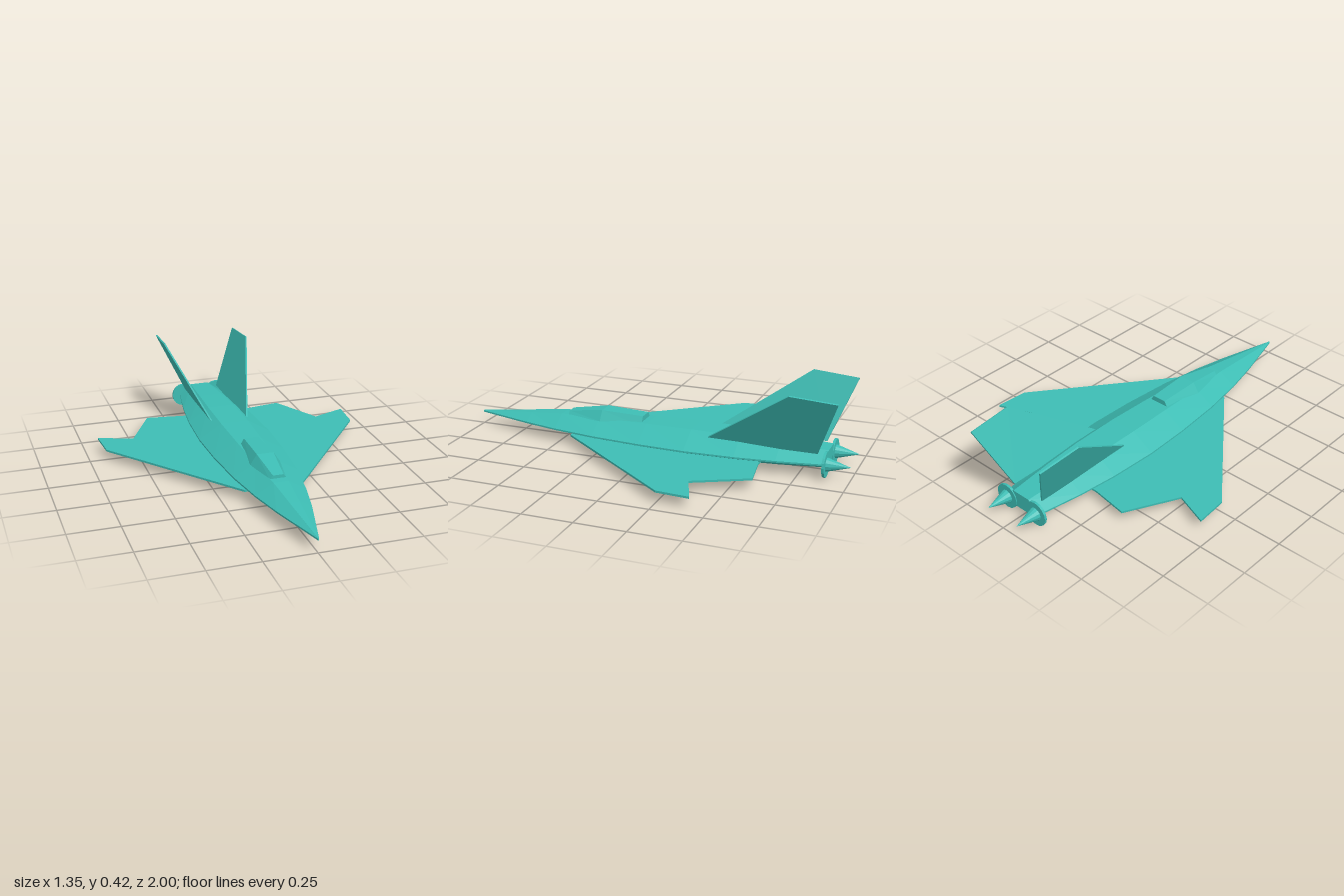
import * as THREE from 'three';

const material = new THREE.MeshStandardMaterial({ color: 0x3dbdb4, flatShading: true, side: THREE.DoubleSide });

function add(parent, name, geometry) {
  const mesh = new THREE.Mesh(geometry, material);
  mesh.name = name;
  parent.add(mesh);
  return mesh;
}

// Joins equal-sized rings of points (front to back) and caps both ends.
// Rings run counter-clockwise as seen from the front.
function loft(rings) {
  const n = rings[0].length, index = [];
  for (let r = 0; r < rings.length - 1; r++) {
    for (let i = 0; i < n; i++) {
      const a = r * n + i, b = r * n + (i + 1) % n;
      index.push(a, a + n, b, b, a + n, b + n);
    }
  }
  const last = (rings.length - 1) * n;
  for (let i = 1; i < n - 1; i++) {
    index.push(0, i, i + 1, last, last + i + 1, last + i);
  }
  const geometry = new THREE.BufferGeometry();
  geometry.setAttribute('position', new THREE.Float32BufferAttribute(rings.flat(2), 3));
  geometry.setIndex(index);
  const flat = geometry.toNonIndexed();
  flat.computeVertexNormals();
  return flat;
}

// Thin flat panel from an outline in its own plane, centred on that plane.
function panel(points, thickness) {
  const shape = new THREE.Shape(points.map(([x, y]) => new THREE.Vector2(x, y)));
  return new THREE.ExtrudeGeometry(shape, { depth: thickness, bevelEnabled: false })
    .translate(0, 0, -thickness / 2);
}

export function createModel() {
  const group = new THREE.Group();
  group.name = 'jet';

  // Fuselage stations: z, side half width, top half width, top y, bottom half width, bottom y
  const stations = [
    [1.0, 0.003, 0.002, 0.072, 0.002, 0.063],
    [0.7, 0.085, 0.024, 0.105, 0.04, 0.047],
    [0.52, 0.125, 0.037, 0.124, 0.06, 0.037],
    [0.3, 0.16, 0.055, 0.132, 0.08, 0.028],
    [0.04, 0.182, 0.066, 0.14, 0.09, 0.023],
    [-0.2, 0.19, 0.072, 0.143, 0.095, 0.02],
    [-0.45, 0.178, 0.07, 0.141, 0.092, 0.022],
    [-0.65, 0.155, 0.062, 0.134, 0.08, 0.027],
    [-0.88, 0.115, 0.05, 0.12, 0.06, 0.037],
  ];
  add(group, 'fuselage', loft(stations.map(([z, w, tw, ty, bw, by]) => [
    [-bw, by, z], [bw, by, z], [w, 0.063, z], [w, 0.071, z],
    [tw, ty, z], [-tw, ty, z], [-w, 0.071, z], [-w, 0.063, z],
  ])));

  // Canopy stations: z, base half width, top half width, top y
  const canopy = [
    [0.48, 0.042, 0.026, 0.142],
    [0.29, 0.075, 0.042, 0.172],
    [0.07, 0.062, 0.036, 0.165],
  ];
  add(group, 'canopy', loft(canopy.map(([z, bw, tw, ty]) => [
    [-bw, 0.122, z], [bw, 0.122, z], [tw, ty, z], [-tw, ty, z],
  ])));

  // Outlines: wing in (x, z), fin in (distance along the slope, z)
  const wingOutline = [
    [0.02, 0.42], [0.145, 0.42], [0.665, -0.245], [0.677, -0.41],
    [0.505, -0.345], [0.37, -0.605], [0.18, -0.575], [0.02, -0.575],
  ];
  const finOutline = [[-0.01, -0.28], [0, -0.29], [0.33, -0.725], [0.312, -0.953], [-0.01, -0.838]];

  for (const [side, s] of [['left', 1], ['right', -1]]) {
    const wing = add(group, side + 'Wing', panel(wingOutline.map(([x, z]) => [s * x, z]), 0.01));
    wing.rotation.x = Math.PI / 2;
    wing.position.y = 0.053;

    // Fin leans outward about its root line
    const fin = new THREE.Group();
    fin.name = side + 'TailFin';
    add(fin, 'finPanel', panel(finOutline, 0.008).rotateX(Math.PI / 2));
    fin.rotation.z = s > 0 ? Math.atan2(0.3, 0.135) : Math.PI - Math.atan2(0.3, 0.135);
    fin.position.set(s * 0.095, 0.122, 0);
    group.add(fin);

    // Engine nozzle: thin collar with a pointed cone behind it
    const engine = new THREE.Group();
    engine.name = side + 'Engine';
    add(engine, 'nozzleCollar', new THREE.CylinderGeometry(0.063, 0.063, 0.012, 16).rotateX(Math.PI / 2));
    add(engine, 'exhaustCone', new THREE.ConeGeometry(0.036, 0.122, 12).rotateX(-Math.PI / 2))
      .position.z = -0.061;
    engine.position.set(s * 0.095, 0.065, -0.878);
    group.add(engine);
  }
  return group;
}
